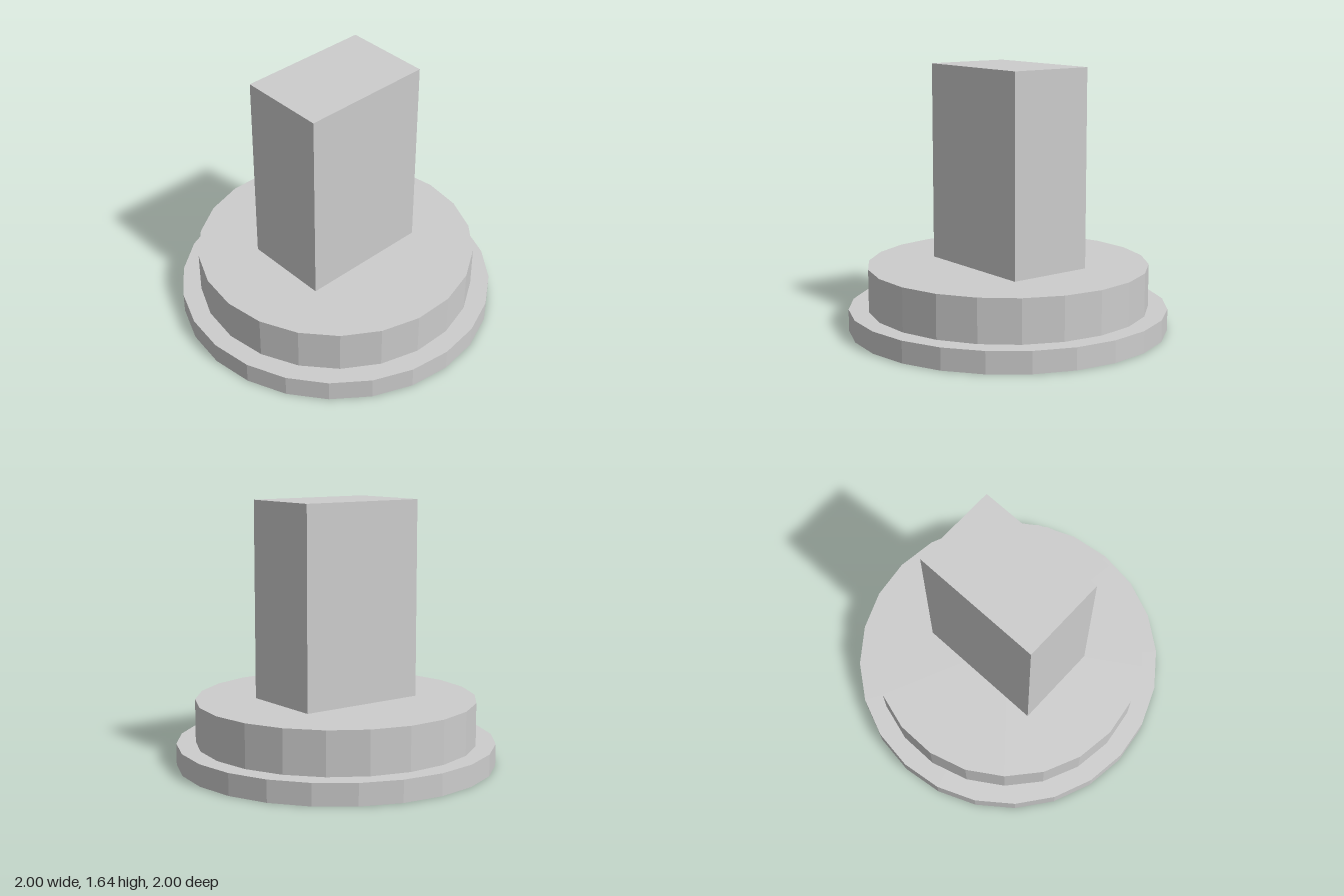
import * as THREE from 'three';

export function createModel() {
  const model = new THREE.Group();
  const grey = new THREE.MeshStandardMaterial({ color: 0xcccccc, flatShading: true });
  grey.name = 'light grey';

  // Adds a part whose underside rests at the given height
  const add = (name, geometry, bottom, height) => {
    const mesh = new THREE.Mesh(geometry, grey);
    mesh.name = name;
    mesh.position.y = bottom + height / 2;
    model.add(mesh);
  };

  // Faceted disc with a corner on the +x axis
  const disc = (radius, height, sides) =>
    new THREE.CylinderGeometry(radius, radius, height, sides, 1, false, Math.PI / 2);

  add('baseFlange', disc(1, 0.135, 24), 0, 0.135);
  add('upperDisc', disc(0.88, 0.27, 22), 0.135, 0.27);
  add('rectangularPost', new THREE.BoxGeometry(0.84, 1.235, 0.55), 0.405, 1.235);

  return model;
}
